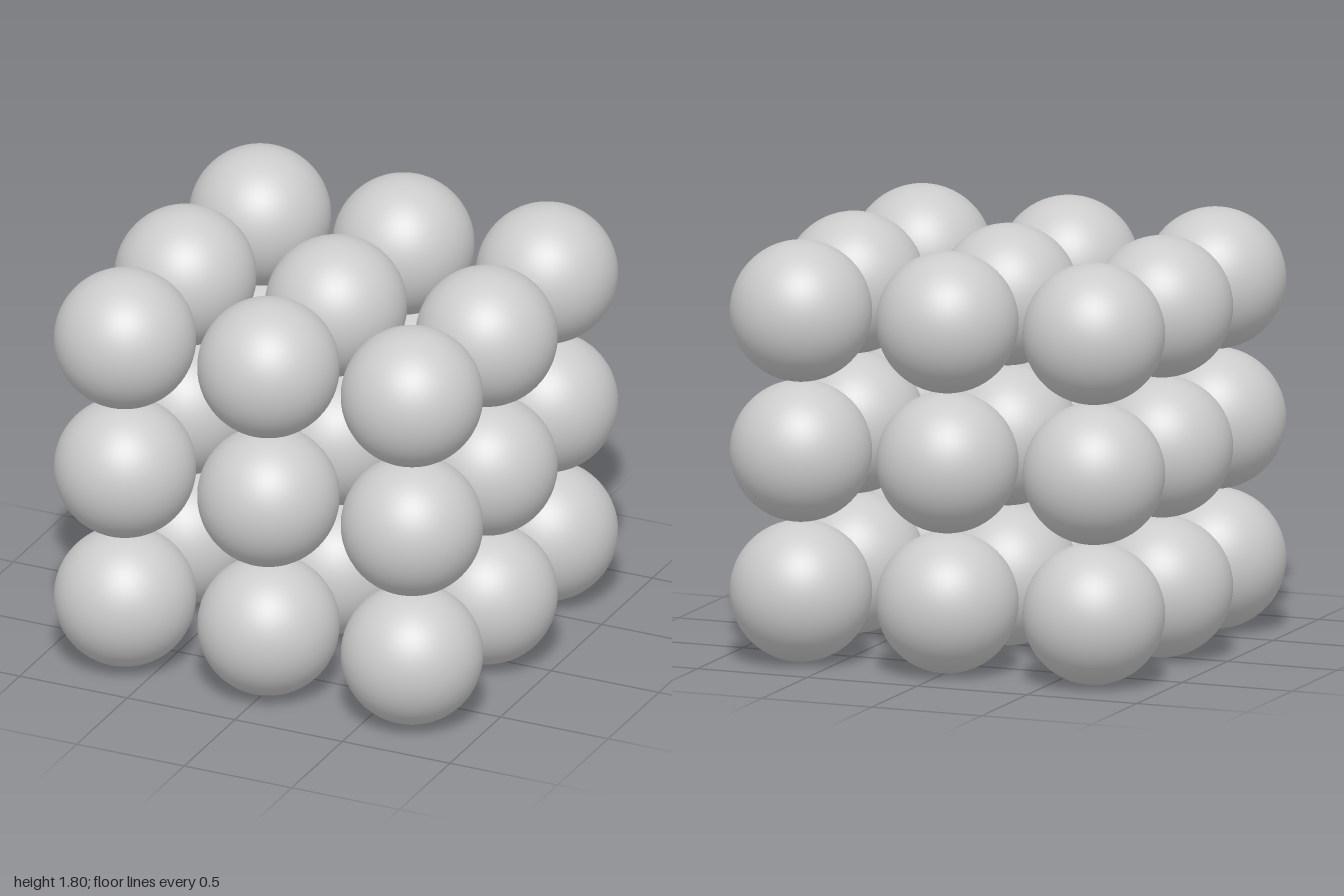
import * as THREE from 'three';

export function createModel() {
  const model = new THREE.Group();
  model.name = 'ballStack';
  const radius = 0.3;
  const spacing = 0.667;
  const bulge = 0.7; // side balls of the middle row sit slightly further out
  const material = new THREE.MeshStandardMaterial({ color: 0xcccccc });
  const ball = new THREE.SphereGeometry(radius, 48, 32);

  // Three touching layers, each a 3 x 3 grid of balls
  ['bottomLayer', 'middleLayer', 'topLayer'].forEach((name, level) => {
    const layer = new THREE.Group();
    layer.name = name;
    layer.position.y = radius * (1 + 2 * level);
    for (const row of [-1, 0, 1]) {
      for (const column of [-1, 0, 1]) {
        const mesh = new THREE.Mesh(ball, material);
        mesh.name = 'ball';
        mesh.position.set(column * (row === 0 ? bulge : spacing), 0, row * spacing);
        layer.add(mesh);
      }
    }
    model.add(layer);
  });
  return model;
}
